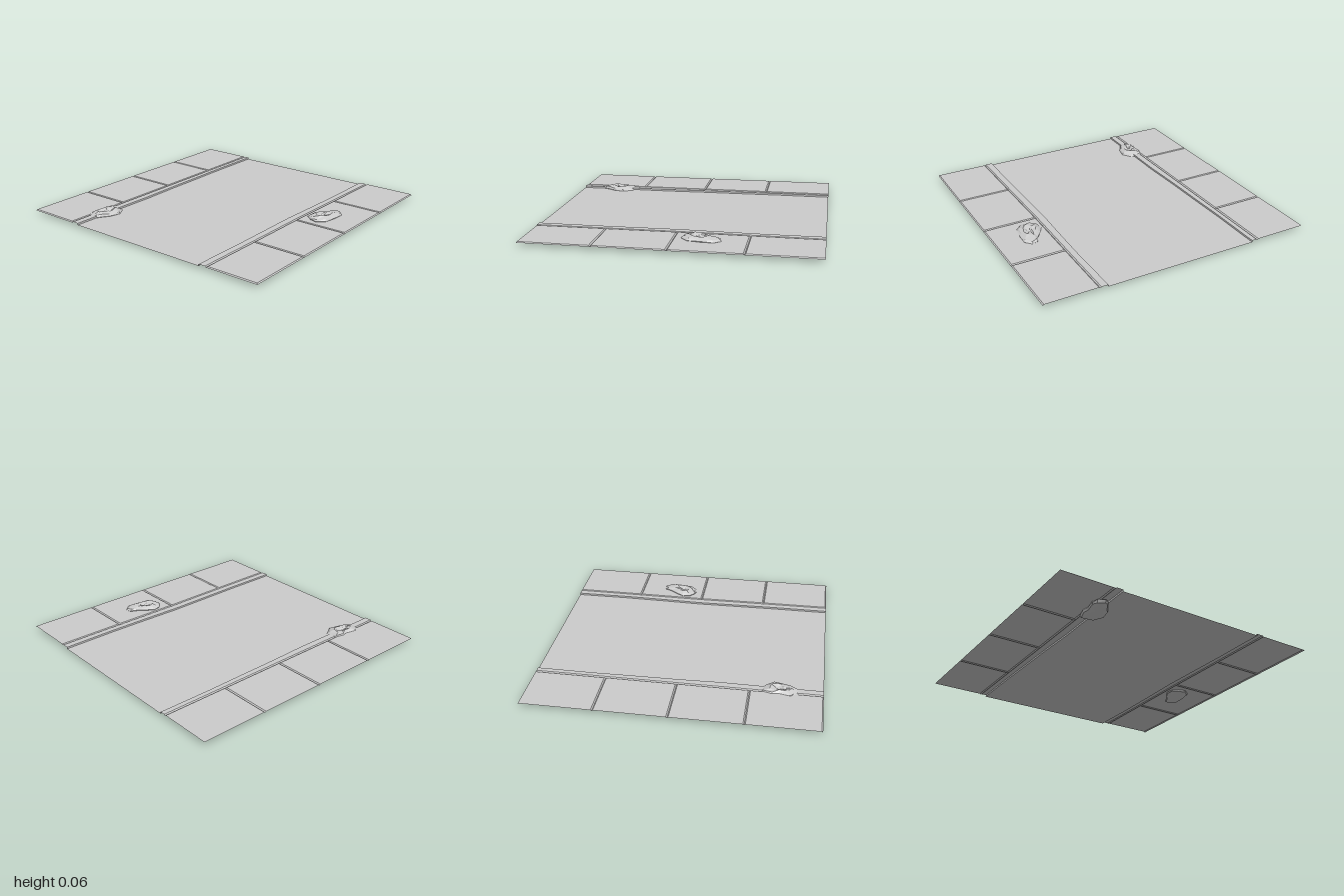
import * as THREE from 'three';

const material = new THREE.MeshStandardMaterial({
  color: 0xcccccc, flatShading: true, side: THREE.DoubleSide,
});

const TOP = 0.035, GROOVE = 0.028, ROAD = 0.022;

// Open sheet lofted through rows of points; each row is a list of [x, y, z].
function sheet(name, rows, closed = false) {
  const n = rows[0].length, index = [];
  for (let j = 0; j < rows.length - 1; j++) {
    for (let i = 0; i < (closed ? n : n - 1); i++) {
      const a = j * n + i, b = j * n + (i + 1) % n;
      index.push(a, a + n, b, b, a + n, b + n);
    }
  }
  const geometry = new THREE.BufferGeometry();
  geometry.setAttribute('position', new THREE.Float32BufferAttribute(rows.flat(2), 3));
  geometry.setIndex(index);
  geometry.computeVertexNormals();
  const mesh = new THREE.Mesh(geometry, material);
  mesh.name = name;
  return mesh;
}

// Slightly worn kerb lines, sampled along z
const stations = [-1, -0.6, -0.3, 0, 0.3, 0.6, 1];
const leftFace = [0.55, 0.553, 0.548, 0.54, 0.545, 0.55, 0.55];
const leftJoint = [0.607, 0.605, 0.602, 0.6, 0.603, 0.605, 0.607];
const rightFace = [-0.568, -0.57, -0.565, -0.562, -0.553, -0.556, -0.556];
const rightJoint = stations.map(() => -0.612);

function sample(values, z) {
  let i = 0;
  while (i < stations.length - 2 && z > stations[i + 1]) i++;
  const t = (z - stations[i]) / (stations[i + 1] - stations[i]);
  return THREE.MathUtils.lerp(values[i], values[i + 1], t);
}

// Kerb: upright face, flat top and the bevel into the pavement joint
function kerb(name, side, face, joint) {
  return sheet(name, stations.map((z, i) => [
    [face[i], ROAD, z], [face[i], TOP, z],
    [joint[i] - side * 0.008, TOP, z], [joint[i], GROOVE, z],
  ]));
}

// Pavement: one sheet with V grooves between slabs and a bevelled front edge
function pavement(name, side, joint) {
  const zs = [[-1, TOP]];
  for (const z of [-0.5, 0, 0.5]) zs.push([z - 0.008, TOP], [z, GROOVE], [z + 0.008, TOP]);
  zs.push([0.992, TOP], [1, GROOVE]);
  return sheet(name, zs.map(([z, y]) => {
    const x = sample(joint, z);
    const row = [[x, GROOVE, z], [x + side * 0.009, y, z]];
    if (side > 0) row.push([0.992, y, z], [1, GROOVE, z]);
    else row.push([-1, y, z]);
    return row;
  }));
}

// Rubble: a faceted crust built from rings shrinking towards a dimpled middle
function rubble(name, outline, cx, cz, base, height, seed) {
  const noise = (i, j) => {
    const v = Math.sin(i * 12.99 + j * 78.23 + seed * 37.7) * 43758.5;
    return v - Math.floor(v) - 0.5;
  };
  // [scale of outline, height, roughness]
  const rings = [
    [0.01, 0.1, 0], [0.6, 0, 0.1], [0.92, 0.1, 0.15], [1, 0.42, 0.18],
    [0.84, 0.68, 0.2], [0.52, 0.9, 0.2], [0.24, 0.72, 0.2], [0.01, 0.55, 0],
  ];
  return sheet(name, rings.map(([scale, h, rough], j) => outline.map(([x, z], i) => {
    const s = scale * (1 + (scale < 0.9 ? noise(i, j + 9) * rough : 0));
    return [
      cx + (x - cx) * s,
      base + height * Math.max(0, h + noise(i, j) * rough),
      cz + (z - cz) * s,
    ];
  })), true);
}

export function createModel() {
  const group = new THREE.Group();
  group.name = 'streetSection';

  group.add(
    sheet('road', stations.map((z, i) => [[rightFace[i], ROAD, z], [leftFace[i], ROAD, z]])),
    kerb('leftKerb', 1, leftFace, leftJoint),
    kerb('rightKerb', -1, rightFace, rightJoint),
    pavement('leftPavement', 1, leftJoint),
    pavement('rightPavement', -1, rightJoint),
  );

  group.add(rubble('pavementRubble', [
    [0.767, -0.326], [0.81, -0.28], [0.81, -0.19], [0.79, -0.096], [0.735, -0.048], [0.68, -0.064],
    [0.634, -0.1], [0.628, -0.155], [0.66, -0.214], [0.703, -0.267], [0.725, -0.315],
  ], 0.725, -0.17, 0.02, 0.046, 1));

  group.add(rubble('kerbRubble', [
    [-0.62, 0.577], [-0.527, 0.588], [-0.484, 0.658], [-0.5, 0.738], [-0.532, 0.786], [-0.559, 0.834],
    [-0.586, 0.85], [-0.634, 0.823], [-0.65, 0.786], [-0.634, 0.7], [-0.639, 0.647],
  ], -0.57, 0.7, 0.004, 0.051, 2));

  return group;
}
